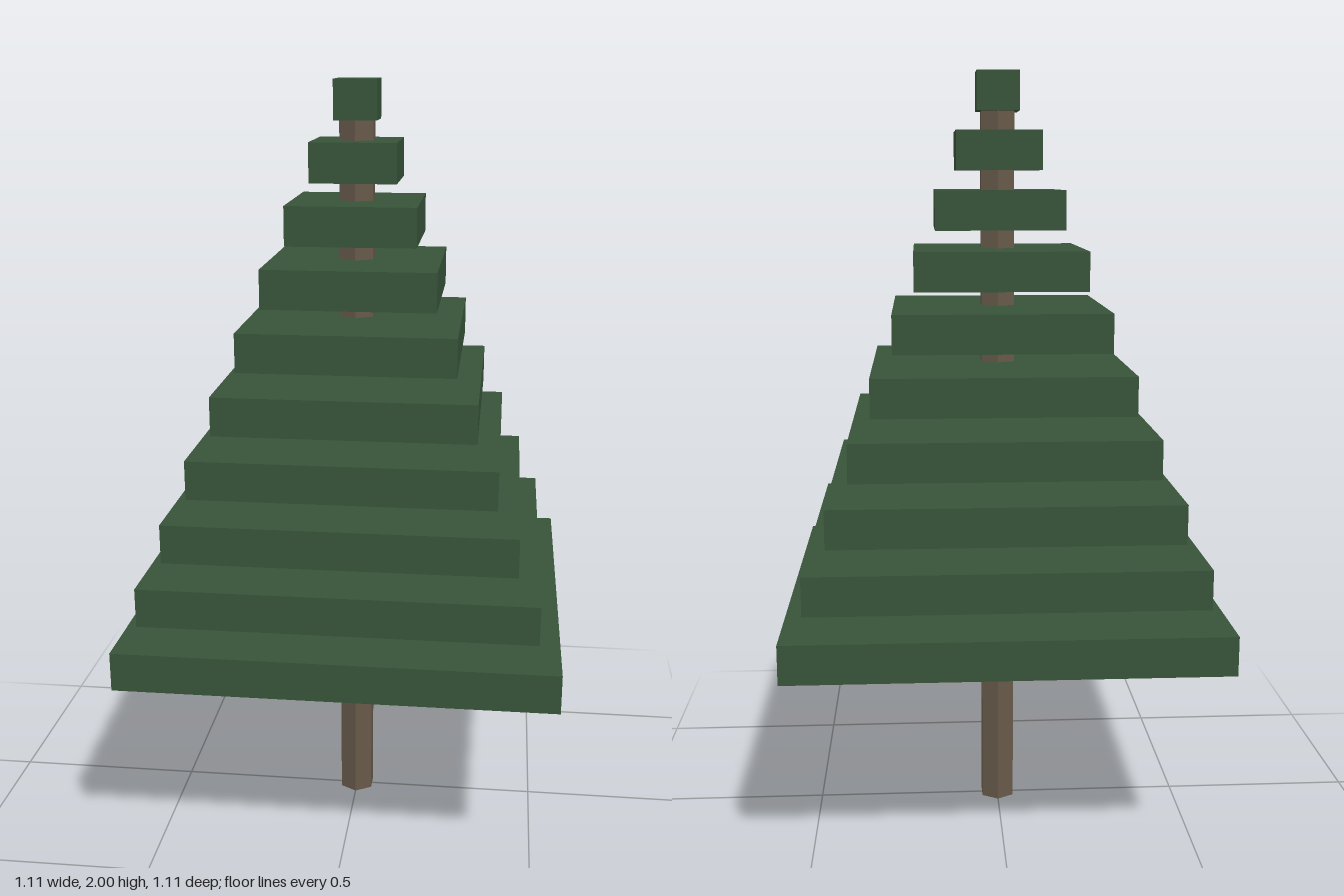
import * as THREE from 'three';

export function createModel() {
  const tree = new THREE.Group();
  tree.name = 'tree';

  const needleGreen = new THREE.MeshStandardMaterial({ color: 0x38543a, flatShading: true });
  needleGreen.name = 'needle green';
  const barkBrown = new THREE.MeshStandardMaterial({ color: 0x67594a, flatShading: true });
  barkBrown.name = 'bark brown';

  // Hexagonal trunk, ending inside the top tier
  const trunkHeight = 1.95;
  const trunk = new THREE.Mesh(new THREE.CylinderGeometry(0.05, 0.05, trunkHeight, 6), barkBrown);
  trunk.name = 'trunk';
  trunk.position.y = trunkHeight / 2;
  tree.add(trunk);

  // Ten square tiers, shrinking evenly towards the top
  const tiers = 10;
  for (let i = 0; i < tiers; i++) {
    const width = 0.1105 * (tiers - i);
    const tier = new THREE.Mesh(new THREE.BoxGeometry(width, 0.1, width), needleGreen);
    tier.name = `foliageTier${i + 1}`;
    tier.position.y = 0.6 + 0.15 * i;
    tree.add(tier);
  }

  return tree;
}
